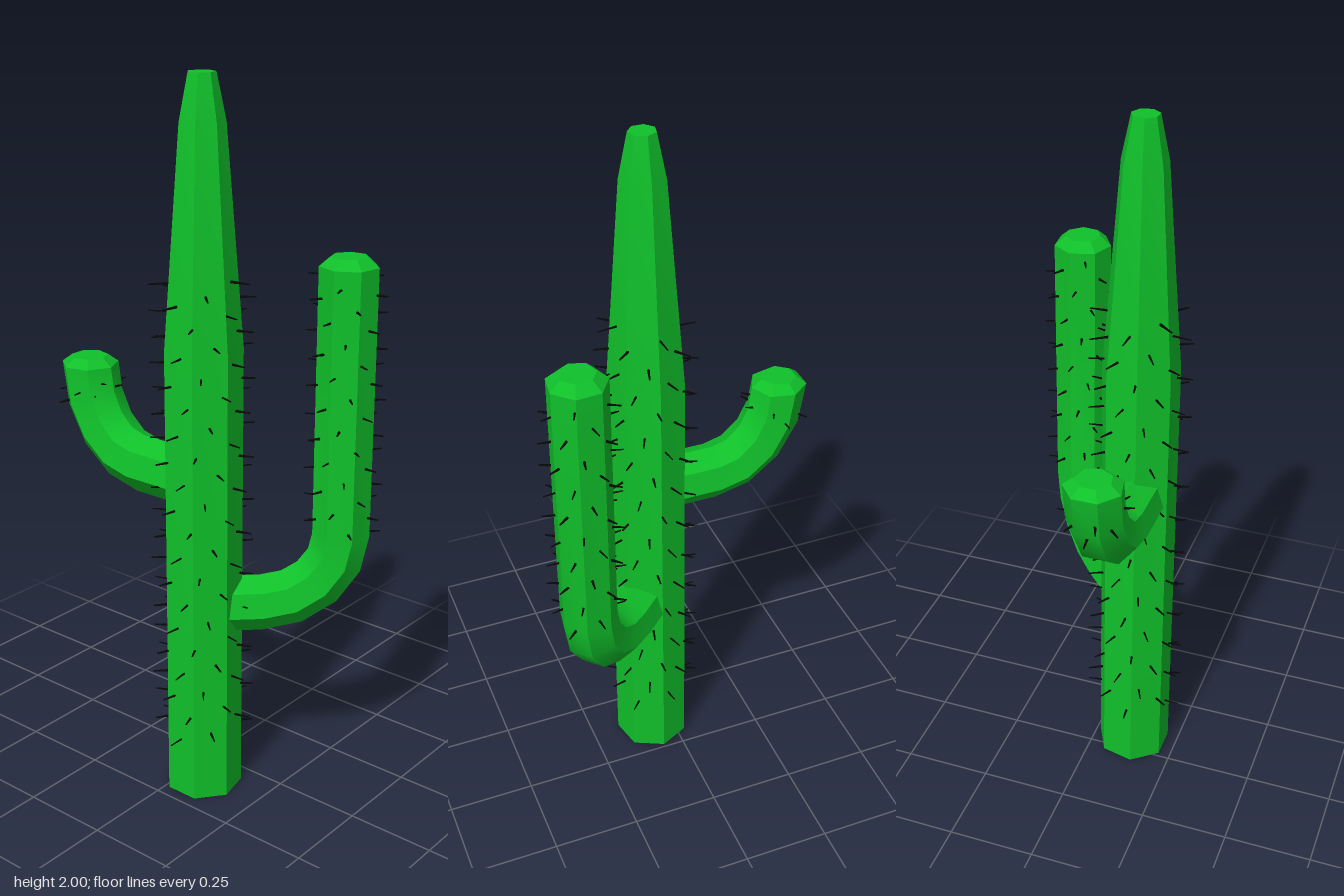
import * as THREE from 'three';
import { mergeGeometries, toCreasedNormals } from 'three/addons/utils/BufferGeometryUtils.js';

const SIDES = 7;
const UP = new THREE.Vector3(0, 1, 0);
const GOLDEN = Math.PI * (3 - Math.sqrt(5));

// A stem lies in the vertical plane through `base` along `dir`.
// Each station is { s: distance along dir, y: height, r: radius, a: slope angle }.
function frame(base, dir, { s, y, a }) {
  const center = base.clone().addScaledVector(dir, s).setY(y);
  const out = dir.clone().multiplyScalar(Math.sin(a)).addScaledVector(UP, -Math.cos(a));
  const side = UP.clone().cross(dir);
  return { center, point: (r, phi) => center.clone()
    .addScaledVector(out, r * Math.cos(phi)).addScaledVector(side, r * Math.sin(phi)) };
}

// Heptagonal stem lofted through its stations, closed at both ends
function stemGeometry(base, dir, stations) {
  const pos = [], index = [];
  const frames = stations.map((st) => frame(base, dir, st));
  frames.forEach((f, i) => {
    for (let k = 0; k < SIDES; k++) {
      pos.push(...f.point(stations[i].r, (2 * k + 1) * Math.PI / SIDES).toArray());
    }
  });
  const last = (stations.length - 1) * SIDES;
  const startCenter = pos.length / 3, endCenter = startCenter + 1;
  pos.push(...frames[0].center.toArray(), ...frames[frames.length - 1].center.toArray());
  for (let k = 0; k < SIDES; k++) {
    const n = (k + 1) % SIDES;
    for (let i = 0; i < last; i += SIDES) {
      index.push(i + k, i + n, i + SIDES + k, i + n, i + SIDES + n, i + SIDES + k);
    }
    index.push(startCenter, n, k, endCenter, last + k, last + n);
  }
  const g = new THREE.BufferGeometry();
  g.setAttribute('position', new THREE.Float32BufferAttribute(pos, 3));
  g.setIndex(index);
  return toCreasedNormals(g, 0.5);
}

// Thin needles spiralling round a stem; station(t) gives the spot for t in 0..1
function spineGeometry(base, dir, station, count, inner, outer) {
  const needles = [];
  for (let i = 0; i < count; i++) {
    const f = frame(base, dir, station((i + 0.5) / count));
    const a = f.point(inner, i * GOLDEN), b = f.point(outer, i * GOLDEN);
    const g = new THREE.CylinderGeometry(0.002, 0.004, outer - inner, 4);
    g.applyQuaternion(new THREE.Quaternion().setFromUnitVectors(UP, b.clone().sub(a).normalize()));
    const m = a.add(b).multiplyScalar(0.5);
    needles.push(g.translate(m.x, m.y, m.z));
  }
  return mergeGeometries(needles);
}

// Stations of an arm: horizontal root, elliptical elbow, upright tip with a bevel
function armStations({ r, y, reach, bendS, bendY, top }) {
  const list = [{ s: 0, y, r, a: 0 }];
  const steps = 4;
  for (let i = 0; i <= steps; i++) {
    const a = (i / steps) * Math.PI / 2;
    list.push({ s: reach - bendS * (1 - Math.sin(a)), y: y + bendY * (1 - Math.cos(a)), r, a });
  }
  if (top - 0.025 > y + bendY + 0.05) list.push({ s: reach, y: top - 0.025, r, a: Math.PI / 2 });
  list.push({ s: reach, y: top, r: r * 0.63, a: Math.PI / 2 });
  return list;
}

export function createModel() {
  const cactus = new THREE.Group();
  cactus.name = 'cactus';
  const green = new THREE.MeshStandardMaterial({ color: 0x10c02a });
  const black = new THREE.MeshStandardMaterial({ color: 0x080808 });
  const add = (name, geometry, material) => {
    const mesh = new THREE.Mesh(geometry, material);
    mesh.name = name;
    cactus.add(mesh);
  };
  const upright = (s, y0, y1) => (t) => ({ s, y: y0 + (y1 - y0) * t, a: Math.PI / 2 });

  // Trunk with tapered top
  const base = new THREE.Vector3(-0.118, 0, 0.06);
  const trunkDir = new THREE.Vector3(-1, 0, 0);
  const trunk = [[0, 0.108], [1.3, 0.108], [1.88, 0.062], [2, 0.037]]
    .map(([y, r]) => ({ s: 0, y, r, a: Math.PI / 2 }));
  add('trunk', stemGeometry(base, trunkDir, trunk), green);
  add('trunkSpines', spineGeometry(base, trunkDir, upright(0, 0.17, 1.49), 130, 0.085, 0.14), black);

  // Tall front arm
  const frontDir = new THREE.Vector3(0.263, 0, 0.275).normalize();
  const front = { r: 0.08, y: 0.565, reach: 0.38, bendS: 0.22, bendY: 0.2, top: 1.535 };
  add('frontArm', stemGeometry(base, frontDir, armStations(front)), green);
  add('frontArmSpines', spineGeometry(base, frontDir, upright(front.reach, 0.76, 1.49), 65, 0.068, 0.107), black);

  // Short back arm
  const backBase = new THREE.Vector3(-0.13, 0, 0.06);
  const backDir = new THREE.Vector3(0, 0, -1);
  const back = { r: 0.08, y: 0.935, reach: 0.398, bendS: 0.2, bendY: 0.25, top: 1.207 };
  add('backArm', stemGeometry(backBase, backDir, armStations(back)), green);
  const nearTip = (t) => {
    const a = 1.15 + 0.2 * t;
    return { s: back.reach - back.bendS * (1 - Math.sin(a)), y: back.y + back.bendY * (1 - Math.cos(a)), a };
  };
  add('backArmSpines', spineGeometry(backBase, backDir, nearTip, 10, 0.068, 0.1), black);

  return cactus;
}
